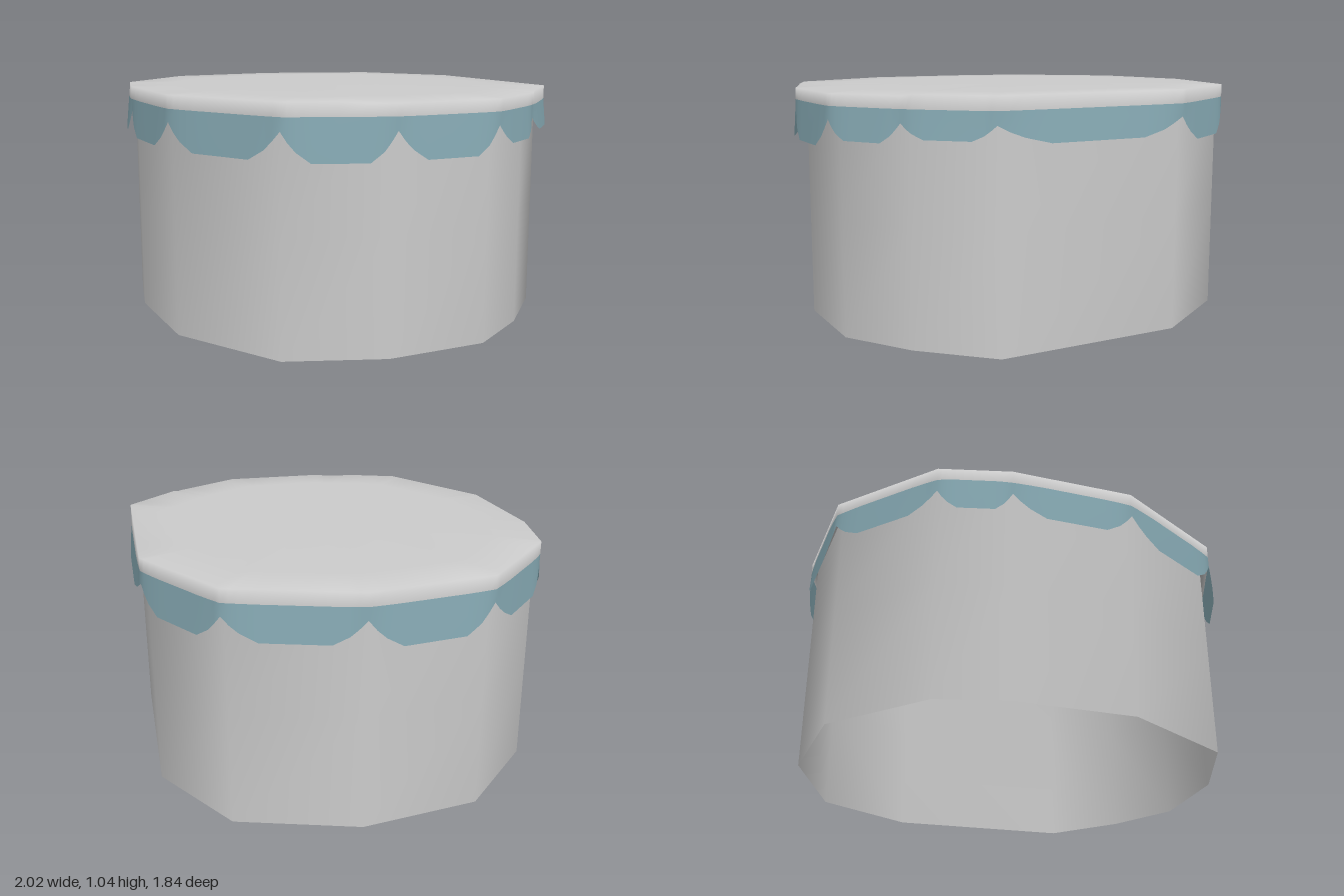
import * as THREE from 'three';

// Corners of the uneven twelve-sided plan (x, z), counterclockwise from above,
// each with the height its cloth lobe hangs down to on the side that follows
const corners = [
  [-1.0, 0.29, 0.83], [-0.7, 0.72, 0.83], [-0.41, 0.84, 0.815], [0.12, 0.92, 0.81],
  [0.67, 0.73, 0.805], [0.91, 0.35, 0.81], [1.0, -0.1, 0.845], [0.87, -0.43, 0.865],
  [0.65, -0.75, 0.85], [-0.21, -0.92, 0.82], [-0.7, -0.74, 0.83], [-0.97, -0.25, 0.81],
];

// One lobe: position along the side, and how far it has dropped and bulged (0 to 1)
const lobe = [[0, 0], [0.06, 0.35], [0.13, 0.65], [0.26, 1], [0.5, 1], [0.76, 1], [0.88, 0.65], [0.94, 0.35]];

// Joins closed loops of equal length, listed from the bottom up, into a smooth skin
function skin(loops) {
  const n = loops[0].length;
  const index = [];
  for (let r = 0; r < loops.length - 1; r++) {
    for (let i = 0; i < n; i++) {
      const a = r * n + i, b = r * n + (i + 1) % n;
      index.push(a, b, b + n, a, b + n, a + n);
    }
  }
  const g = new THREE.BufferGeometry();
  g.setAttribute('position', new THREE.Float32BufferAttribute(loops.flat(2), 3));
  g.setIndex(index);
  g.computeVertexNormals();
  return g;
}

const material = (color) => new THREE.MeshStandardMaterial({ color, side: THREE.DoubleSide });

// Straight hollow wall, open at the bottom
function makeBody() {
  const loop = (y) => corners.map(([x, z]) => [x * 0.958 - 0.012, y, z * 0.972]);
  const mesh = new THREE.Mesh(skin([loop(0), loop(0.5), loop(1.0)]), material(0xcccccc));
  mesh.name = 'body';
  return mesh;
}

// Flat cover whose edge hangs down in one lobe per side
function makeCover() {
  const hem = [], fold = [], rim = [];
  corners.forEach(([x0, z0, low], i) => {
    const [x1, z1] = corners[(i + 1) % corners.length];
    const length = Math.hypot(x1 - x0, z1 - z0);
    const nx = -(z1 - z0) / length, nz = (x1 - x0) / length;
    for (const [t, drop] of lobe) {
      const x = x0 + (x1 - x0) * t, z = z0 + (z1 - z0) * t;
      const bulge = drop * 0.022;
      hem.push([x + nx * bulge, 0.925 + (low - 0.925) * drop, z + nz * bulge]);
      fold.push([x + nx * bulge * 0.3, 0.98, z + nz * bulge * 0.3]);
      rim.push([x, x > 0.85 ? 1.03 : 1.037, z]);
    }
  });
  const inset = (s) => rim.map(([x, , z]) => [x * s, 1.04, z * s]);
  const geometry = skin([hem, fold, rim, inset(0.77), inset(0)]);
  // The hanging edge is coloured, the top stays grey
  const perLoop = hem.length * 6;
  geometry.addGroup(0, perLoop, 0);
  geometry.addGroup(perLoop, perLoop * 3, 1);
  const mesh = new THREE.Mesh(geometry, [material(0x86a9b3), material(0xcccccc)]);
  mesh.name = 'scallopedCover';
  return mesh;
}

export function createModel() {
  const model = new THREE.Group();
  model.name = 'coveredDrum';
  model.add(makeBody(), makeCover());
  return model;
}
